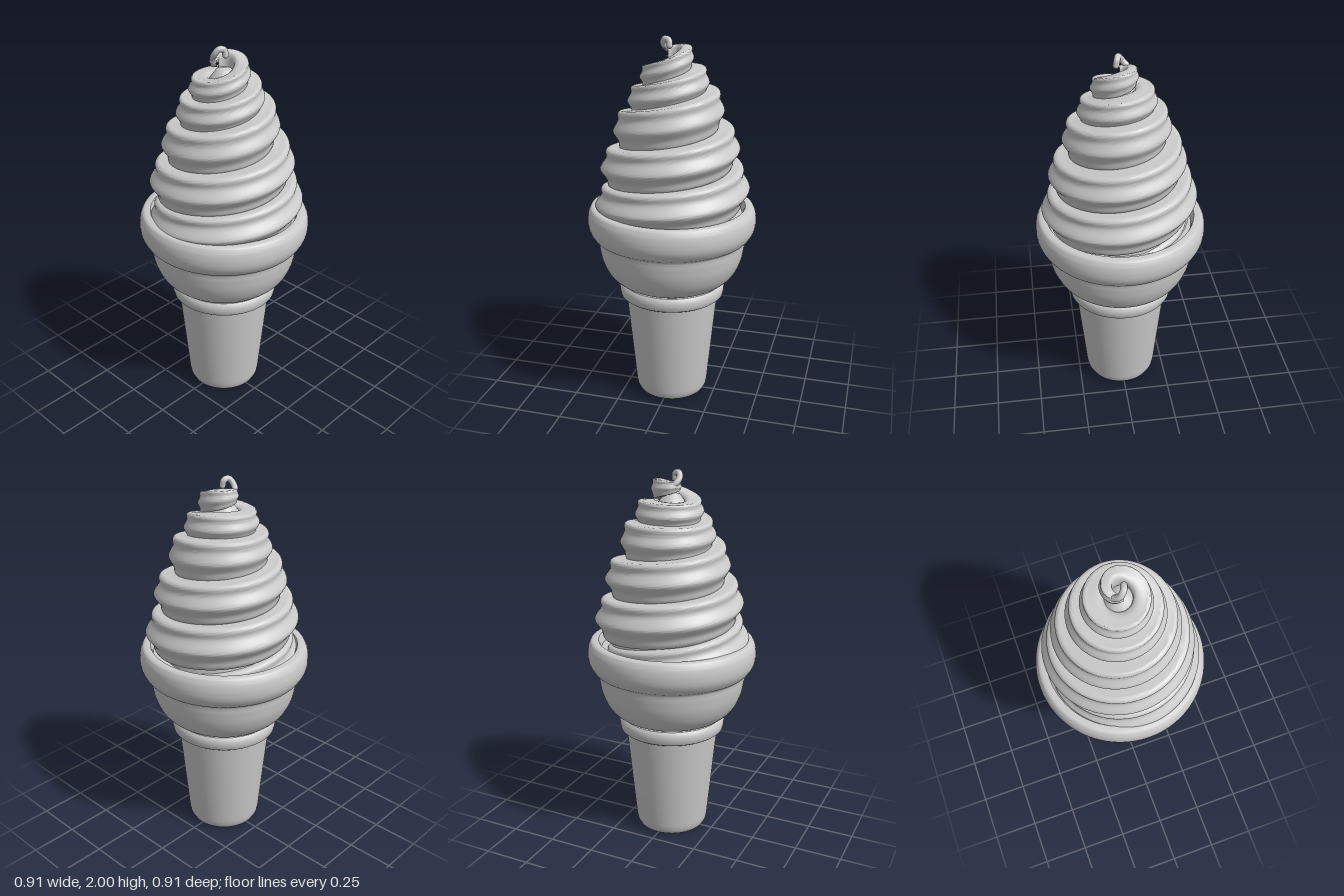
import * as THREE from 'three';
import { toCreasedNormals } from 'three/addons/utils/BufferGeometryUtils.js';

const material = new THREE.MeshStandardMaterial({ color: 0xcccccc });
const v2 = ([x, y]) => new THREE.Vector2(x, y);

function add(group, name, geometry) {
  const mesh = new THREE.Mesh(geometry, material);
  mesh.name = name;
  group.add(mesh);
}

function lathe(points) {
  return toCreasedNormals(new THREE.LatheGeometry(points.map(v2), 72), 0.7);
}

// Sweeps a closed (radius, height) section up a helix whose size follows a path
// of (radius, height, half thickness), one path point per half turn.
function helixSweep(path, section, startTurn) {
  const sizes = new THREE.CatmullRomCurve3(path.map((p) => new THREE.Vector3(...p)), false, 'catmullrom', 0.5);
  const ring = new THREE.SplineCurve([...section, section[0]].map(v2)).getPoints(44);
  const turns = (path.length - 1) / 2;
  const steps = Math.round(turns * 72);
  const n = ring.length;
  const positions = [];
  const index = [];
  for (let i = 0; i <= steps; i++) {
    const size = sizes.getPoint(i / steps);
    const angle = 2 * Math.PI * (startTurn + (turns * i) / steps);
    for (let j = 0; j < n; j++) {
      const r = size.x * ring[j].x;
      positions.push(-r * Math.cos(angle), size.y + size.z * ring[j].y, r * Math.sin(angle));
      if (i < steps && j < n - 1) {
        const a = i * n + j;
        const b = a + n;
        index.push(a, b, b + 1, a, b + 1, a + 1);
      }
    }
  }
  const geometry = new THREE.BufferGeometry();
  geometry.setAttribute('position', new THREE.Float32BufferAttribute(positions, 3));
  geometry.setIndex(index);
  return toCreasedNormals(geometry, 0.9);
}

export function createModel() {
  const group = new THREE.Group();
  group.name = 'iceCreamCone';

  // Wafer: tapered stem, collar, bowl and rolled rim
  add(group, 'waferStem', lathe([
    [0, 0], [0.17, 0], [0.187, 0.008], [0.198, 0.03], [0.203, 0.06], [0.255, 0.6],
  ]));
  add(group, 'waferCollar', lathe([
    [0.25, 0.592], [0.275, 0.592], [0.285, 0.6], [0.29, 0.625], [0.29, 0.642], [0.285, 0.66], [0.276, 0.67], [0.25, 0.672],
  ]));
  const bowl = new THREE.SplineCurve([
    [0.25, 0.665], [0.3, 0.69], [0.35, 0.74], [0.382, 0.81], [0.396, 0.88], [0.402, 0.925],
    [0.425, 0.945], [0.448, 0.985], [0.455, 1.03], [0.45, 1.075], [0.437, 1.103],
  ].map(v2)).getPoints(50).map((p) => [p.x, p.y]);
  add(group, 'waferBowl', lathe([...bowl, [0.425, 1.11], [0.395, 1.108], [0.385, 1.085], [0.38, 1.06], [0, 1.06]]));

  // Soft serve: a ridged ribbon wound upwards around a hidden core
  const section = [
    [0.4, -1], [0.8, -1.02], [0.89, -0.88], [0.915, -0.5], [0.995, -0.08], [0.99, 0.15],
    [0.915, 0.58], [0.92, 0.9], [0.885, 1.06], [0.8, 1.08], [0.4, 0.95],
  ];
  add(group, 'softServeSwirl', helixSweep([
    [0.37, 0.94, 0.1], [0.41, 1.1, 0.1], [0.415, 1.205, 0.11], [0.383, 1.3, 0.105],
    [0.36, 1.42, 0.1], [0.312, 1.5, 0.1], [0.275, 1.62, 0.098], [0.235, 1.66, 0.075],
    [0.195, 1.765, 0.07], [0.17, 1.785, 0.055], [0.115, 1.893, 0.05], [0.055, 1.915, 0.015],
  ], section, -0.5));
  add(group, 'softServeCore', lathe([
    [0.33, 1.04], [0.29, 1.3], [0.22, 1.5], [0.14, 1.7], [0.08, 1.82], [0.04, 1.875], [0, 1.885],
  ]));

  // Curled tip
  const curl = new THREE.CatmullRomCurve3([
    [0.07, 1.895, -0.04], [0.02, 1.905, -0.06], [-0.03, 1.925, -0.045], [-0.05, 1.955, -0.018],
    [-0.036, 1.983, 0.004], [-0.012, 1.976, 0.013], [-0.008, 1.95, 0.018],
  ].map((p) => new THREE.Vector3(...p)));
  add(group, 'curledTip', new THREE.TubeGeometry(curl, 48, 0.016, 14));
  const end = new THREE.SphereGeometry(0.016, 14, 10);
  end.translate(-0.008, 1.95, 0.018);
  add(group, 'curledTipEnd', end);

  return group;
}
